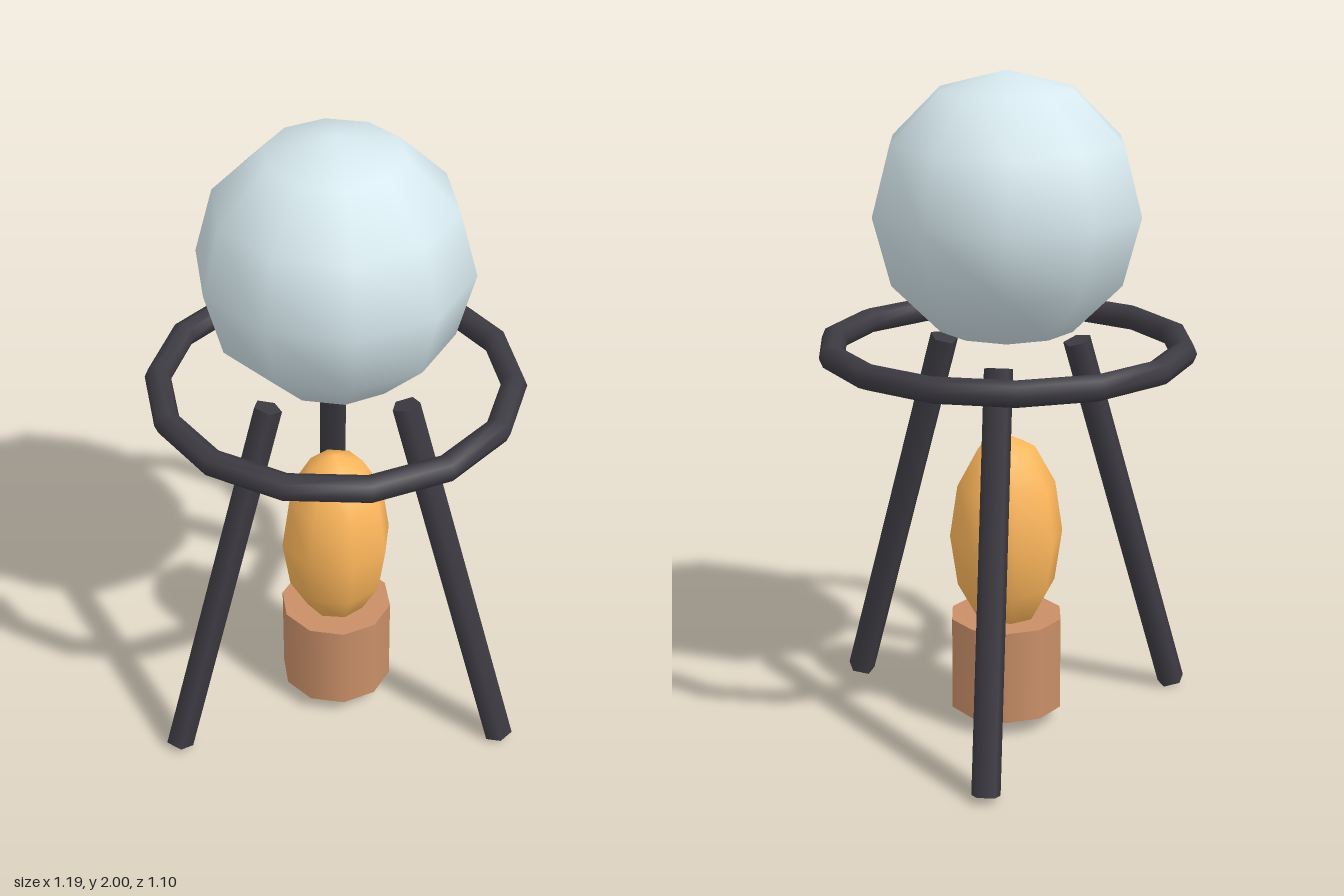
import * as THREE from 'three';

const CX = -0.03; // shared vertical axis of all parts

const mat = (color) => new THREE.MeshStandardMaterial({ color });
const iron = mat(0x3d3b42), glass = mat(0xd6e8ee), flameColor = mat(0xffb85c), clay = mat(0xc98f68);

export function createModel() {
  const model = new THREE.Group();

  function add(name, geometry, material, y) {
    const mesh = new THREE.Mesh(geometry, material);
    mesh.name = name;
    mesh.position.set(CX, y, 0);
    model.add(mesh);
    return mesh;
  }

  // glass globe, with corners pointing along z
  const globe = new THREE.SphereGeometry(0.405, 10, 6).rotateY(Math.PI / 10);
  add('globe', globe, glass, 1.596);

  // ring that carries the globe
  const ring = new THREE.TorusGeometry(0.525, 0.039, 8, 14).rotateX(Math.PI / 2);
  add('ring', ring, iron, 1.188);

  // burner pot and its tall flame
  add('burner', new THREE.CylinderGeometry(0.174, 0.174, 0.29, 10), clay, 0.195);
  add('flame', new THREE.SphereGeometry(0.173, 8, 6).scale(1, 0.315 / 0.173, 1), flameColor, 0.6);

  // three splayed five-sided legs
  const up = new THREE.Vector3(0, 1, 0);
  for (let i = 0; i < 3; i++) {
    const a = (i * Math.PI * 2) / 3;
    const point = (r, y) => new THREE.Vector3(CX + r * Math.cos(a), y, r * Math.sin(a));
    const foot = point(0.583, 0.013), top = point(0.232, 1.18);
    const dir = top.clone().sub(foot);
    const leg = add('leg' + (i + 1),
      new THREE.CylinderGeometry(0.044, 0.044, dir.length(), 5, 1, false, Math.PI), iron, 0);
    leg.position.copy(foot).add(top).multiplyScalar(0.5);
    leg.quaternion.setFromUnitVectors(up, dir.normalize());
  }
  return model;
}
